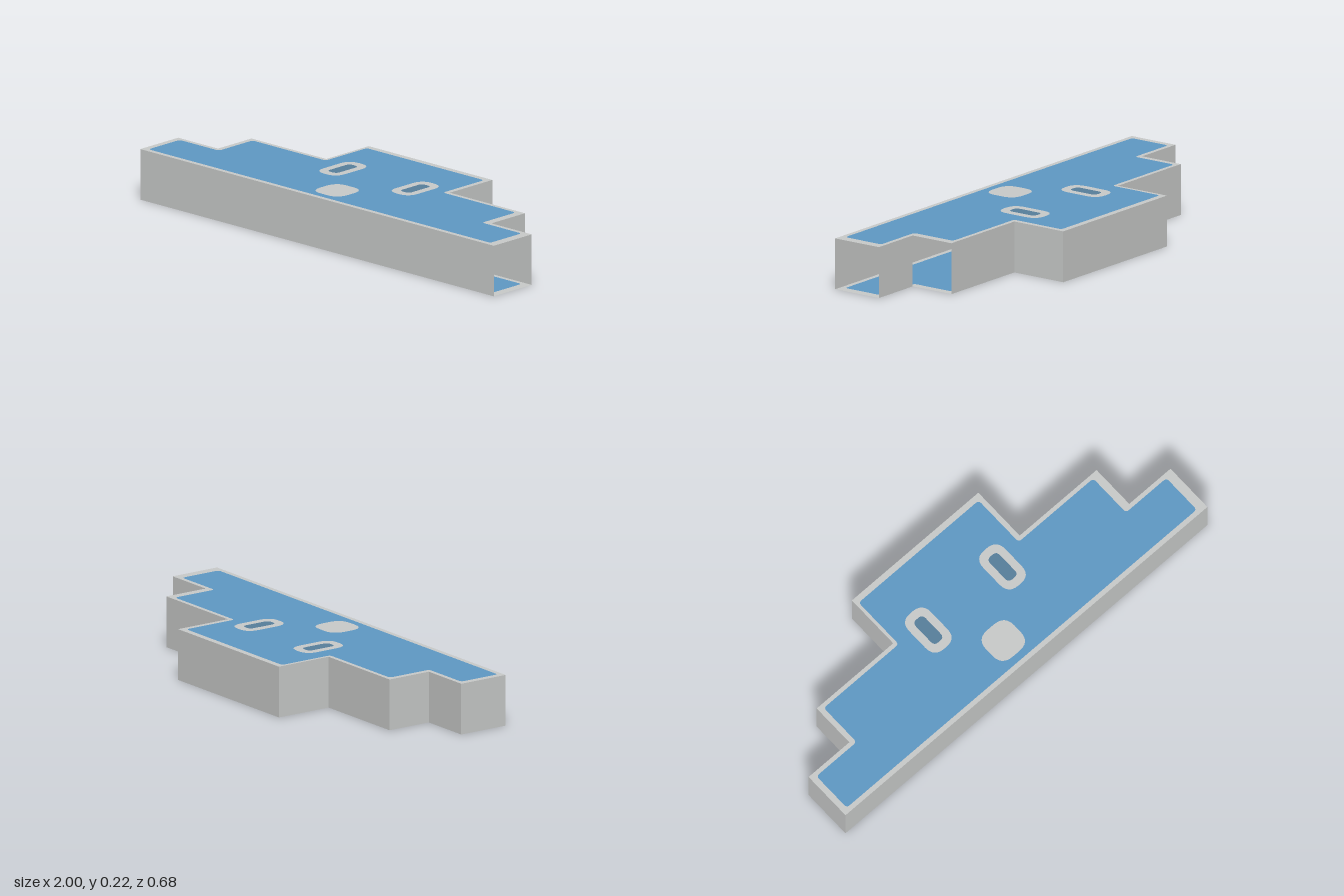
import * as THREE from 'three';

const HEIGHT = 0.216;

// Closed path through [x, z] corners, each rounded by r (shape y is -z)
function roundedPath(corners, r, PathType = THREE.Shape) {
  const pts = corners.map(([x, z]) => new THREE.Vector2(x, -z));
  const path = new PathType();
  const toward = (a, b) => a.clone().add(b.clone().sub(a).setLength(r));
  pts.forEach((p, i) => {
    const a = toward(p, pts[(i + pts.length - 1) % pts.length]);
    const b = toward(p, pts[(i + 1) % pts.length]);
    if (i === 0) path.moveTo(a.x, a.y);
    else path.lineTo(a.x, a.y);
    if (r > 0) path.quadraticCurveTo(p.x, p.y, b.x, b.y);
  });
  path.closePath();
  return path;
}

// Corners of a rectangle given by its centre and half sizes
const rect = (x, z, w, h) => [[x - w, z + h], [x + w, z + h], [x + w, z - h], [x - w, z - h]];

export function createModel() {
  const paint = (name, color) =>
    new THREE.MeshStandardMaterial({ name, color, side: THREE.DoubleSide });
  const grey = paint('light grey', 0xc9cbca);
  const blue = paint('blue', 0x5f99c5);
  const slate = paint('slate blue', 0x587f9c);

  const model = new THREE.Group();
  model.name = 'steppedBox';

  // Stepped outline, counter-clockwise from above starting at the front left corner
  const outline = [
    [-1, 0.338], [1, 0.338], [1, 0.113], [0.772, 0.113], [0.772, -0.086], [0.347, -0.086],
    [0.347, -0.338], [-0.352, -0.338], [-0.352, -0.086], [-0.775, -0.086], [-0.775, 0.113], [-1, 0.113],
  ];
  const field = [
    [-0.974, 0.317], [0.96, 0.317], [0.96, 0.132], [0.737, 0.132], [0.737, -0.068], [0.325, -0.068],
    [0.325, -0.312], [-0.338, -0.312], [-0.338, -0.068], [-0.752, -0.068], [-0.752, 0.132], [-0.974, 0.132],
  ];
  const nose = [rect(-0.01, 0.208, 0.078, 0.078), 0.06];
  const eyes = [-0.207, 0.203].map((x) => ({
    ring: [rect(x, -0.032, 0.061, 0.104), 0.055],
    pupil: [rect(x, -0.032, 0.027, 0.067), 0.022],
  }));

  // Flat patch with cut-outs, so neighbouring colours never overlap
  function patch(parent, name, material, [corners, r], holes = []) {
    const shape = roundedPath(corners, r);
    shape.holes = holes.map(([c, hr]) => roundedPath(c, hr, THREE.Path));
    const geometry = new THREE.ShapeGeometry(shape, 6).rotateX(-Math.PI / 2);
    const mesh = new THREE.Mesh(geometry, material);
    mesh.name = name;
    parent.add(mesh);
  }

  // Matching painted panels on the top and the bottom
  for (const [name, y] of [['topPanel', HEIGHT], ['bottomPanel', 0]]) {
    const panel = new THREE.Group();
    panel.name = name;
    panel.position.y = y;
    patch(panel, 'border', grey, [outline, 0], [[field, 0.016]]);
    patch(panel, 'field', blue, [field, 0.016], [nose, ...eyes.map((e) => e.ring)]);
    patch(panel, 'nose', grey, nose);
    for (const eye of eyes) {
      patch(panel, 'eyeRing', grey, eye.ring, [eye.pupil]);
      patch(panel, 'pupil', slate, eye.pupil);
    }
    model.add(panel);
  }

  // Thin side walls; the two lower steps are open on the +x side
  const openSides = [1, 3];
  outline.forEach(([x0, z0], i) => {
    if (openSides.includes(i)) return;
    const [x1, z1] = outline[(i + 1) % outline.length];
    const wall = new THREE.Mesh(
      new THREE.PlaneGeometry(Math.hypot(x1 - x0, z1 - z0), HEIGHT), grey);
    wall.name = 'sideWall';
    wall.position.set((x0 + x1) / 2, HEIGHT / 2, (z0 + z1) / 2);
    wall.rotation.y = Math.atan2(z0 - z1, x1 - x0);
    model.add(wall);
  });

  return model;
}
